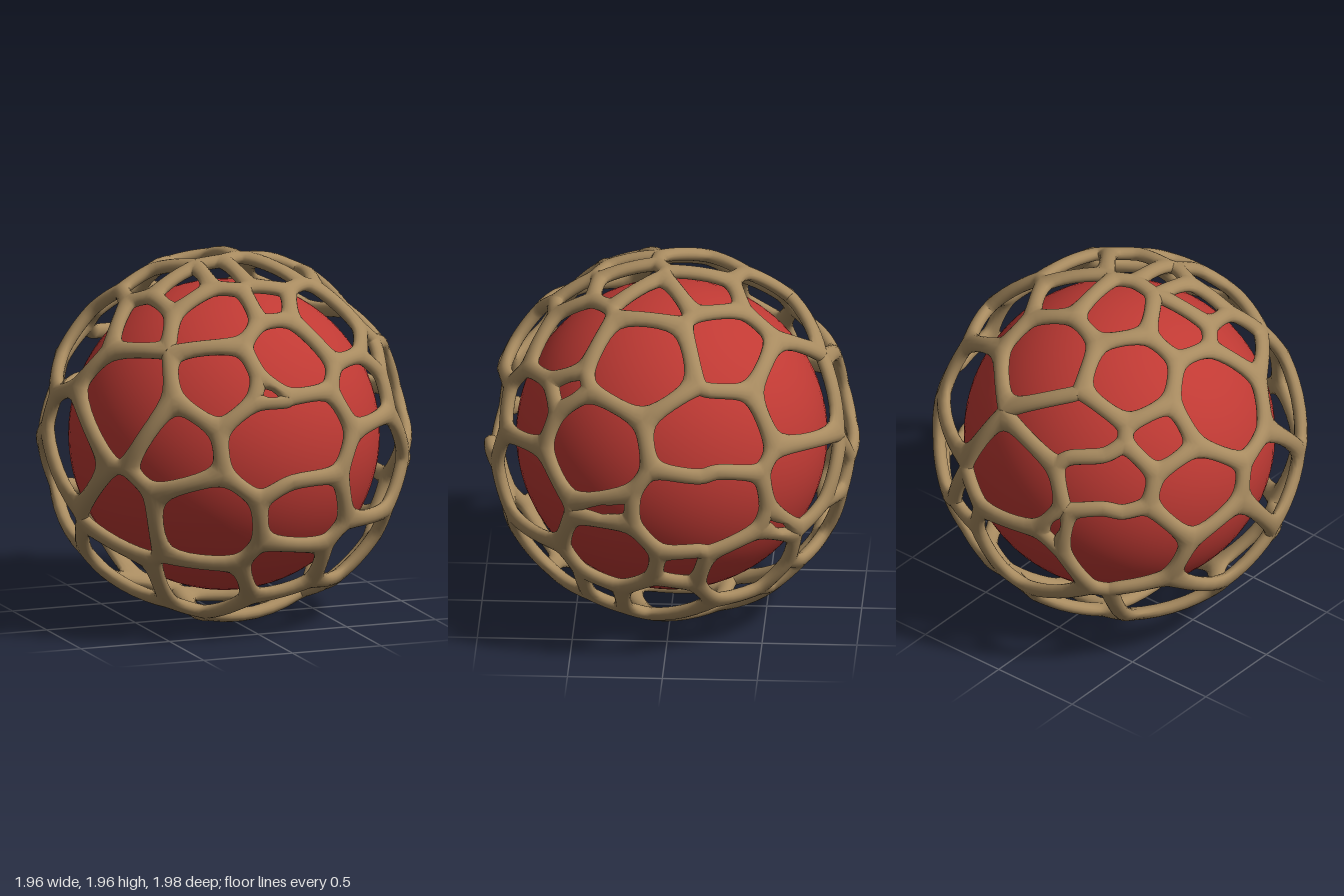
import * as THREE from 'three';
import { ConvexGeometry } from 'three/addons/geometries/ConvexGeometry.js';
import { mergeVertices } from 'three/addons/utils/BufferGeometryUtils.js';

const MID = 0.955;     // radius of the cage's middle surface
const HALF = 0.035;    // half thickness of a strut, radially
const WIDTH = 0.042;   // half width of a strut, along the surface
const STEPS = 6;       // samples along each strut
const ROWS = 8;        // rows around half a strut

// Centres of the cage's openings, grouped by the direction they face:
// [across, up, angular radius if known] on a disc seen from that azimuth and elevation.
// Wide openings are 1.5 times as wide as high.
const OPENINGS = [
  { az: 0, el: 0, // front
    wide: [[0.01, 0.15, 0.24]],
    cells: [[-0.57, 0.1, 0.23], [-0.44, -0.3], [0.13, -0.25], [0.59, -0.09], [0.52, 0.34],
      [0.08, 0.57], [-0.32, 0.45], [-0.1, 0.39, 0.08], [0.06, -0.59], [0.48, -0.52], [-0.36, -0.68]] },
  { az: 0, el: 90, // top
    wide: [],
    cells: [[0.04, 0.55], [-0.4, 0.41], [-0.1, 0.17], [0.2, 0.18, 0.2], [0.53, 0.33], [-0.4, -0.03],
      [-0.58, -0.25, 0.18], [-0.33, -0.24, 0.18], [-0.12, -0.26, 0.13], [0.11, -0.24, 0.16],
      [0.33, -0.06], [0.65, -0.13], [0.38, -0.54], [0.06, -0.51, 0.12], [-0.24, -0.51]] },
  { az: 90, el: 0, // +x side
    wide: [[0.26, 0.35, 0.22], [0.2, -0.06, 0.24]],
    cells: [[-0.38, 0.25], [-0.3, -0.05, 0.12], [-0.28, -0.34], [0.09, -0.41, 0.12], [0.43, -0.46],
      [0, -0.66], [0.74, 0.03, 0.28], [0.7, 0.42], [0.6, -0.18, 0.08], [-0.54, 0.5, 0.09],
      [-0.33, -0.62, 0.09]] },
  { az: 215, el: 25, // back, towards -x
    wide: [[-0.2, 0.17, 0.18], [-0.01, -0.08, 0.17], [0.08, -0.44, 0.22]],
    cells: [[0.28, 0.14], [-0.5, -0.15], [0.46, -0.15], [-0.27, -0.39, 0.09], [-0.46, -0.58],
      [0.58, 0.33], [0.64, -0.52]] },
  { az: 140, el: -30, // back, underside
    wide: [],
    cells: [[0.3, 0.34, 0.1], [0.24, 0.09], [0.11, -0.13, 0.09], [0.29, -0.23], [-0.11, -0.5],
      [0.19, -0.52], [0.59, -0.44]] },
];

// Seeds of all openings (two for a wide one); bare regions get evenly spread ones
function makeSeeds() {
  const seeds = [];
  let cell = 0;
  for (const { az, el, wide, cells } of OPENINGS) {
    const turn = new THREE.Euler(-THREE.MathUtils.degToRad(el), THREE.MathUtils.degToRad(az), 0, 'YXZ');
    const add = (u, v, r) => {
      const w = Math.sqrt(MID * MID - u * u - v * v);
      seeds.push({ dir: new THREE.Vector3(u, v, w).applyEuler(turn).normalize(), r, cell });
    };
    for (const [u, v, r] of wide) {
      add(u - r / 2, v, r);
      add(u + r / 2, v, r);
      cell++;
    }
    for (const [u, v, r] of cells) {
      add(u, v, r);
      cell++;
    }
  }
  const count = 900;
  for (let i = 0; i < count; i++) {
    const y = -1 + (2 * i + 1) / count, s = Math.sqrt(1 - y * y), a = i * 2.399963;
    const dir = new THREE.Vector3(s * Math.cos(a), y, s * Math.sin(a));
    if (seeds.every((o) => o.dir.angleTo(dir) > 0.43)) seeds.push({ dir, cell: cell++ });
  }
  return seeds;
}

// Unknown radii make each opening just touch its nearest neighbours
function packRadii(seeds) {
  const near = seeds.map((s) => seeds.map((o, i) => ({ i, d: s.dir.angleTo(o.dir) }))
    .sort((a, b) => a.d - b.d).slice(1, 6));
  let radii = seeds.map((s) => s.r ?? 0.23);
  for (let pass = 0; pass < 30; pass++) {
    radii = radii.map((r, i) => {
      if (seeds[i].r) return r;
      const want = near[i].reduce((sum, o) => sum + o.d - radii[o.i], 0) / near[i].length;
      return THREE.MathUtils.clamp((r + want) / 2, 0.13, 0.31);
    });
  }
  return radii;
}

// Cell corners: the hull of the weighted seeds is the dual of the cage
function makeCells(seeds) {
  const radii = packRadii(seeds);
  const points = seeds.map((s, i) => s.dir.clone().divideScalar(Math.cos(radii[i])));
  const hull = new ConvexGeometry(points).attributes.position;
  const cells = seeds.map(() => new Set());
  const tri = [0, 1, 2].map(() => new THREE.Vector3());
  for (let f = 0; f < hull.count; f += 3) {
    tri.forEach((p, k) => p.fromBufferAttribute(hull, f + k));
    const corner = new THREE.Triangle(...tri).getNormal(new THREE.Vector3());
    for (const p of tri) {
      let best = 0;
      points.forEach((q, i) => { if (q.distanceToSquared(p) < points[best].distanceToSquared(p)) best = i; });
      cells[seeds[best].cell].add(corner);
    }
  }
  return cells.map((c) => [...c]).filter((c) => c.length > 2);
}

const centreOf = (pts) => pts.reduce((s, p) => s.add(p), new THREE.Vector3()).normalize();

// Each cell gives the half struts around its own rounded opening
function addCell(corners, positions, indices) {
  const c = centreOf(corners);
  const ex = corners[0].clone().projectOnPlane(c).normalize();
  const ey = c.clone().cross(ex);
  const angle = (p) => Math.atan2(p.dot(ey), p.dot(ex));
  const ring = [...corners].sort((a, b) => angle(a) - angle(b));

  const edge = [];
  ring.forEach((p, i) => {
    const q = ring[(i + 1) % ring.length];
    for (let k = 0; k < STEPS; k++) edge.push(p.clone().lerp(q, k / STEPS));
  });
  const n = edge.length;

  // round the corners, then move inwards by half a strut
  let soft = edge;
  for (let pass = 0; pass < 5; pass++) {
    soft = soft.map((p, i) => p.clone().multiplyScalar(2)
      .add(soft[(i + 1) % n]).add(soft[(i + n - 1) % n]).multiplyScalar(0.25));
  }
  const middle = centreOf(soft);
  const rim = soft.map((p, i) => {
    const along = soft[(i + 1) % n].clone().sub(soft[(i + n - 1) % n]);
    const inward = p.clone().cross(along).normalize();
    return p.clone().addScaledVector(inward, Math.min(WIDTH / MID, 0.5 * p.distanceTo(middle)));
  });

  const base = positions.length / 3;
  for (let k = 0; k <= ROWS; k++) {
    const t = Math.PI * k / ROWS;
    for (let i = 0; i < n; i++) {
      const p = edge[i].clone().lerp(rim[i], Math.sin(t)).setLength(MID + HALF * Math.cos(t));
      positions.push(p.x, p.y, p.z);
      if (k === ROWS) continue;
      const a = base + k * n + i, b = base + k * n + (i + 1) % n;
      indices.push(a, b, b + n, a, b + n, a + n);
    }
  }
}

export function createModel() {
  const group = new THREE.Group();
  group.name = 'cagedBall';

  // inner ball
  const ball = new THREE.Mesh(
    new THREE.SphereGeometry(0.82, 64, 40),
    new THREE.MeshStandardMaterial({ color: 0xc03a34 }));
  ball.name = 'innerBall';

  // outer cage
  const positions = [], indices = [];
  for (const cell of makeCells(makeSeeds())) addCell(cell, positions, indices);
  let geometry = new THREE.BufferGeometry();
  geometry.setAttribute('position', new THREE.Float32BufferAttribute(positions, 3));
  geometry.setIndex(indices);
  geometry = mergeVertices(geometry, 1e-4);
  geometry.computeVertexNormals();
  const cage = new THREE.Mesh(geometry, new THREE.MeshStandardMaterial({ color: 0xa88b60 }));
  cage.name = 'outerCage';

  group.add(ball, cage);
  group.children.forEach((m) => { m.position.y = MID + HALF; });
  return group;
}
